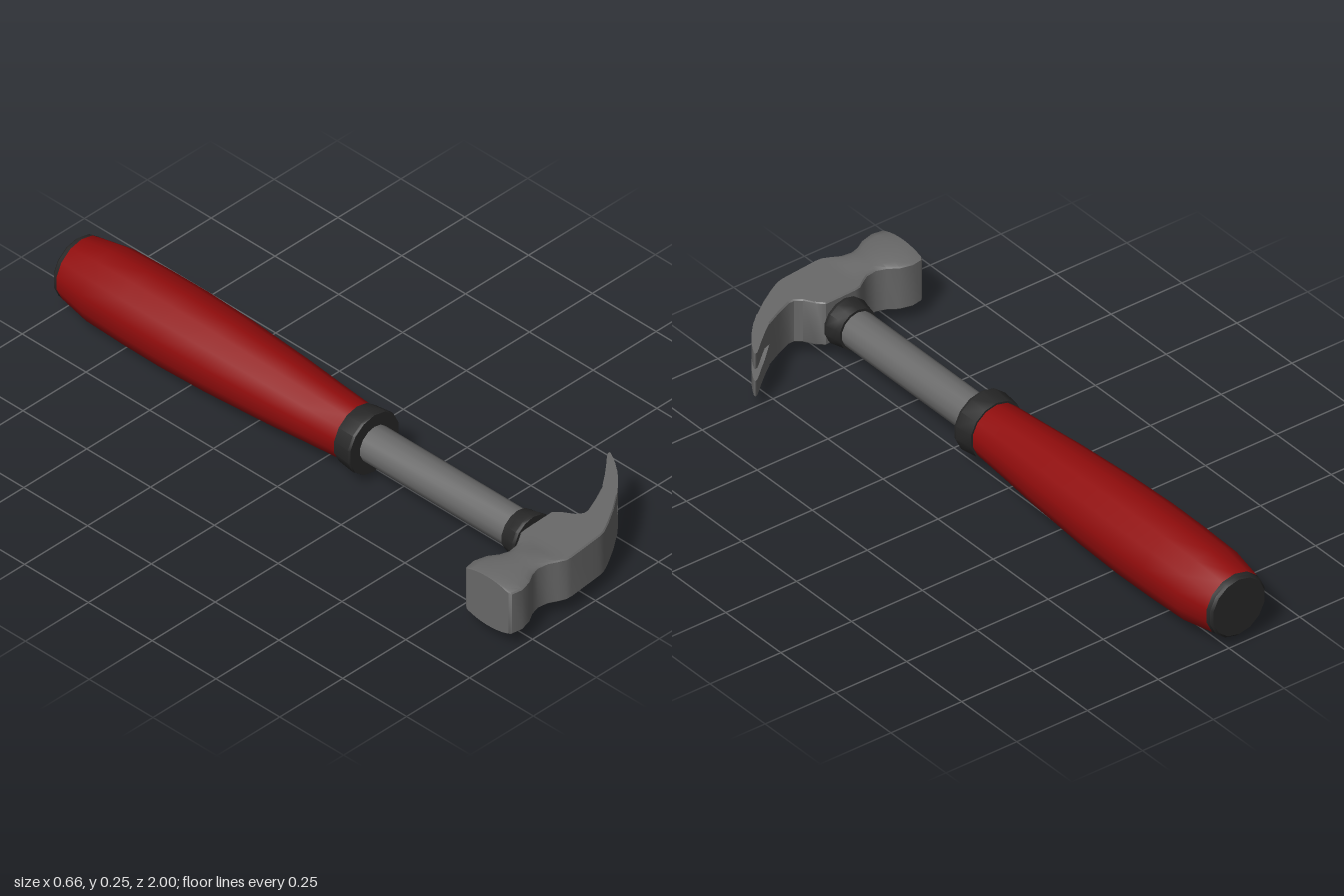
import * as THREE from 'three';
import { toCreasedNormals } from 'three/addons/utils/BufferGeometryUtils.js';

const AX = -0.035, AY = 0.125; // axis of the handle

const mat = (name, color) => {
  const m = new THREE.MeshStandardMaterial({ color });
  m.name = name;
  return m;
};

// Turned part along z; the profile is [radius, z] with rising z
function turned(name, material, profile) {
  const geo = new THREE.LatheGeometry(profile.map(([r, z]) => new THREE.Vector2(r, z)), 14);
  geo.rotateX(Math.PI / 2);
  const mesh = new THREE.Mesh(toCreasedNormals(geo, 0.55), material);
  mesh.name = name;
  mesh.position.set(AX, AY, 0);
  return mesh;
}

// Closed skin over equal-length rings of [x, y, z], running along +x
function loft(name, material, rings) {
  const pos = [];
  const tri = (a, b, c) => pos.push(...a, ...b, ...c);
  const n = rings[0].length;
  for (let i = 0; i < rings.length - 1; i++) {
    for (let j = 0; j < n; j++) {
      const k = (j + 1) % n;
      const [a, b, c, d] = [rings[i][j], rings[i][k], rings[i + 1][k], rings[i + 1][j]];
      tri(a, b, c);
      tri(a, c, d);
    }
  }
  const first = rings[0], last = rings[rings.length - 1];
  for (let k = 1; k < n - 1; k++) {
    tri(first[0], first[k + 1], first[k]);
    tri(last[0], last[k], last[k + 1]);
  }
  const geo = new THREE.BufferGeometry();
  geo.setAttribute('position', new THREE.Float32BufferAttribute(pos, 3));
  const mesh = new THREE.Mesh(toCreasedNormals(geo, 0.55), material);
  mesh.name = name;
  return mesh;
}

const H = 0.072; // half thickness of the head

// Cross-section of the head: flat sides, cambered top and bottom, chamfered edges
function headRing([x, z0, z1, bulge]) {
  const c = 0.004, steps = 8, top = [];
  for (let i = 0; i <= steps; i++) {
    const t = i / steps;
    const y = H + bulge * Math.pow(Math.sin(Math.PI * t), 0.8);
    top.push([y, z0 + c + (z1 - z0 - 2 * c) * t]);
  }
  const half = [[H - c, z0], ...top, [H - c, z1]];
  const under = half.map(([y, z]) => [-y, z]).reverse();
  return [...half, ...under].map(([y, z]) => [x, AY + y, z]);
}

export function createModel() {
  const steel = mat('steel', 0x696969);
  const red = mat('red grip', 0x900c0c);
  const rubber = mat('black rubber', 0x272727);
  const model = new THREE.Group();
  model.name = 'clawHammer';

  // Handle
  model.add(
    turned('endCap', rubber, [[0, -1], [0.092, -1], [0.099, -0.993], [0.101, -0.98], [0, -0.98]]),
    turned('grip', red, [[0, -0.98], [0.101, -0.98], [0.12, -0.87], [0.124, -0.72], [0.125, -0.58],
      [0.12, -0.4], [0.107, -0.17], [0.096, -0.03], [0.087, 0.1], [0, 0.1]]),
    turned('gripCollar', rubber, [[0, 0.1], [0.093, 0.1], [0.1, 0.16], [0.098, 0.168], [0, 0.168]]),
    turned('shaft', steel, [[0.058, 0.16], [0.058, 0.74]]),
    turned('headCollar', rubber, [[0, 0.73], [0.066, 0.73], [0.069, 0.75], [0.076, 0.78], [0.074, 0.79], [0, 0.79]]),
    turned('neck', rubber, [[0.052, 0.785], [0.052, 0.83]])
  );

  // Head: [x, back z, front z, camber]
  const head = new THREE.Group();
  head.name = 'head';
  head.add(loft('headBody', steel, [
    [-0.33, 0.82, 0.985, 0.013],
    [-0.325, 0.814, 0.993, 0.014],
    [-0.29, 0.808, 0.999, 0.014],
    [-0.25, 0.818, 0.988, 0.014],
    [-0.22, 0.838, 0.97, 0.011],
    [-0.19, 0.848, 0.961, 0.01],
    [-0.155, 0.843, 0.966, 0.008],
    [-0.13, 0.828, 0.979, 0.002],
    [-0.105, 0.811, 0.99, 0],
    [-0.085, 0.808, 0.991, 0],
    [0.02, 0.805, 0.981, 0],
    [0.04, 0.825, 0.979, 0],
    [0.06, 0.857, 0.974, 0],
    [0.08, 0.872, 0.964, 0],
    [0.1, 0.872, 0.953, 0],
    [0.15, 0.851, 0.922, 0],
    [0.205, 0.824, 0.882, 0]
  ].map(headRing)));

  // Two claw prongs either side of the notch: [x, back z, front z, half gap]
  const claw = [
    [0.205, 0.824, 0.882, 0],
    [0.245, 0.794, 0.847, 0.02],
    [0.28, 0.765, 0.81, 0.02],
    [0.305, 0.743, 0.776, 0.02],
    [0.32, 0.731, 0.752, 0.02],
    [0.329, 0.728, 0.735, 0.02]
  ];
  for (const side of [1, -1]) {
    const rings = claw.map(([x, z0, z1, gap]) => {
      const ring = [[gap, z0], [H, z0], [H, z1], [gap, z1]].map(([y, z]) => [x, AY + side * y, z]);
      return side > 0 ? ring : ring.reverse();
    });
    head.add(loft(side > 0 ? 'upperClaw' : 'lowerClaw', steel, rings));
  }
  model.add(head);
  return model;
}
